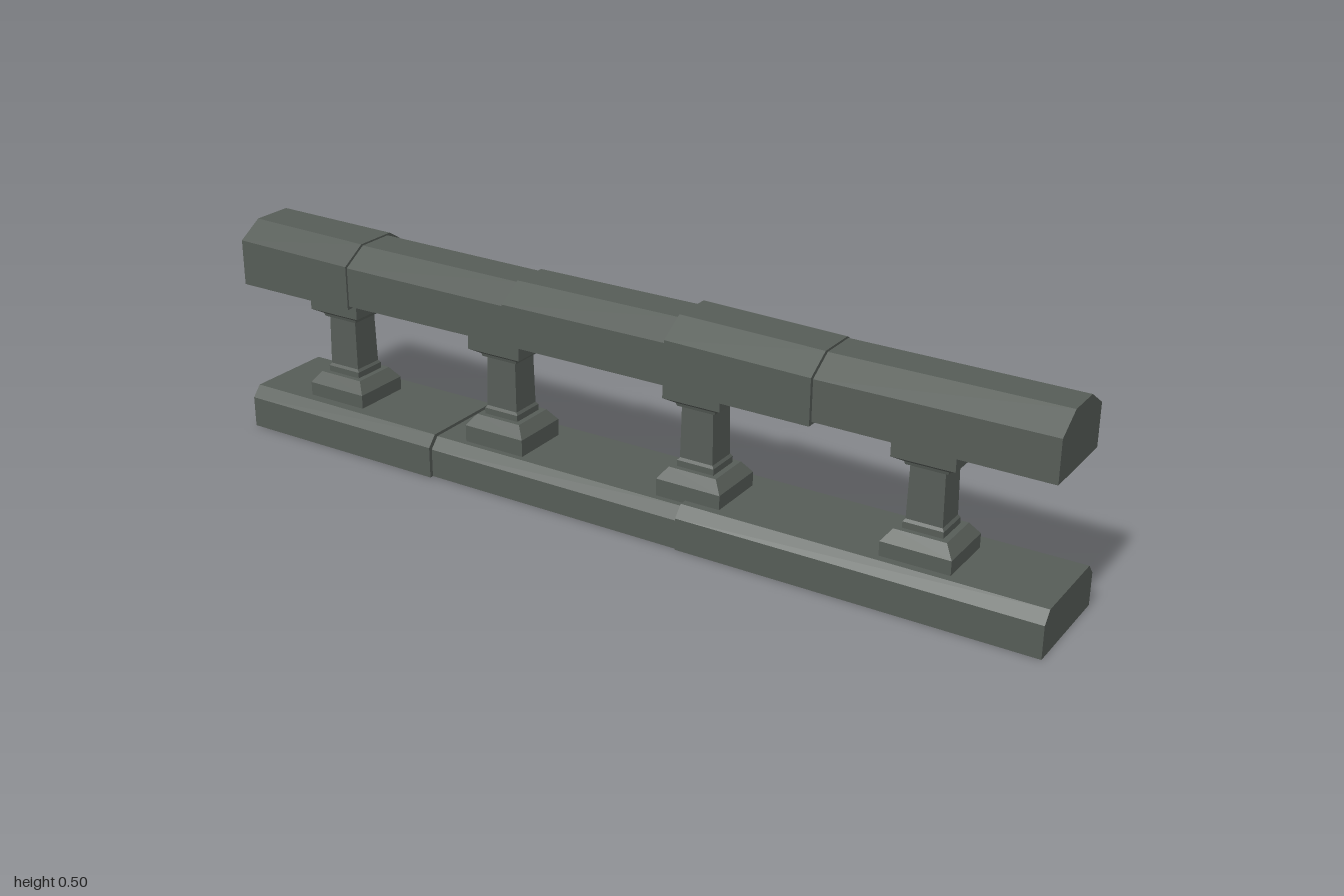
import * as THREE from 'three';

const stone = new THREE.MeshStandardMaterial({ color: 0x565c57 });
stone.name = 'dark stone';

// Solid between two matching [z, y] outlines at x0 and x1, with flat faces
function beam(name, x0, outline0, x1, outline1) {
  const pos = [];
  const a = outline0.map(([z, y]) => [x0, y, z]);
  const b = outline1.map(([z, y]) => [x1, y, z]);
  const tri = (...pts) => pts.forEach((p) => pos.push(...p));
  const n = a.length;
  for (let i = 0; i < n; i++) {
    const j = (i + 1) % n;
    tri(a[i], b[j], a[j]);
    tri(a[i], b[i], b[j]);
    if (i > 0 && i < n - 1) {
      tri(a[0], a[i], a[j]);
      tri(b[0], b[j], b[i]);
    }
  }
  const geo = new THREE.BufferGeometry();
  geo.setAttribute('position', new THREE.Float32BufferAttribute(pos, 3));
  geo.computeVertexNormals();
  const mesh = new THREE.Mesh(geo, stone);
  mesh.name = name;
  return mesh;
}

// Block outline with two chamfered upper edges
const chamfered = (back, front, bottom, top, inset, drop) => [
  [back, bottom], [front, bottom], [front, top - drop],
  [front - inset, top], [back + inset, top], [back, top - drop],
];

// Square stepped baluster: [half width, height] rings
const balusterProfile = [
  [0, 0.088], [0.07, 0.088], [0.07, 0.13], [0.052, 0.156], [0.04, 0.156],
  [0.04, 0.17], [0.036, 0.176], [0.034, 0.293], [0.041, 0.294],
  [0.043, 0.301], [0.062, 0.313], [0.062, 0.365], [0, 0.365],
];

function balusterGeometry() {
  const pts = balusterProfile.map(([r, y]) => new THREE.Vector2(r * Math.SQRT2, y));
  const geo = new THREE.LatheGeometry(pts, 4, Math.PI / 4).toNonIndexed();
  geo.scale(1.1, 1, 1);
  geo.computeVertexNormals();
  return geo;
}

export function createModel() {
  const model = new THREE.Group();
  model.name = 'balustrade';

  // Plinth blocks: x0, x1, back, front, top
  [
    [-0.99, -0.46, -0.126, 0.127, 0.098],
    [-0.46, 0.185, -0.126, 0.118, 0.091],
    [0.185, 0.995, -0.126, 0.122, 0.098],
  ].forEach(([x0, x1, back, front, top], i) => {
    const outline = chamfered(back, front, 0, top, 0.022, 0.025);
    model.add(beam(`plinthBlock${i + 1}`, x0, outline, x1, outline));
  });

  // Balusters
  const geo = balusterGeometry();
  [-0.767, -0.312, 0.19, 0.708].forEach((x, i) => {
    const mesh = new THREE.Mesh(geo, stone);
    mesh.name = `baluster${i + 1}`;
    mesh.position.set(x, 0, 0.012);
    model.add(mesh);
  });

  // Handrail blocks: x and [back, front, bottom, top] at each end
  [
    [-1, [-0.098, 0.113, 0.353, 0.497], -0.685, [-0.098, 0.117, 0.354, 0.493]],
    [-0.685, [-0.09, 0.112, 0.361, 0.489], -0.26, [-0.093, 0.106, 0.36, 0.484]],
    [-0.26, [-0.096, 0.107, 0.359, 0.488], 0.15, [-0.096, 0.106, 0.358, 0.488]],
    [0.15, [-0.098, 0.114, 0.354, 0.498], 0.485, [-0.09, 0.118, 0.354, 0.493]],
    [0.485, [-0.095, 0.109, 0.361, 0.488], 0.99, [-0.088, 0.11, 0.358, 0.488]],
  ].forEach(([x0, s0, x1, s1], i) => {
    const outline = (s) => chamfered(...s, 0.058, 0.037);
    model.add(beam(`handrailBlock${i + 1}`, x0, outline(s0), x1, outline(s1)));
  });

  return model;
}
